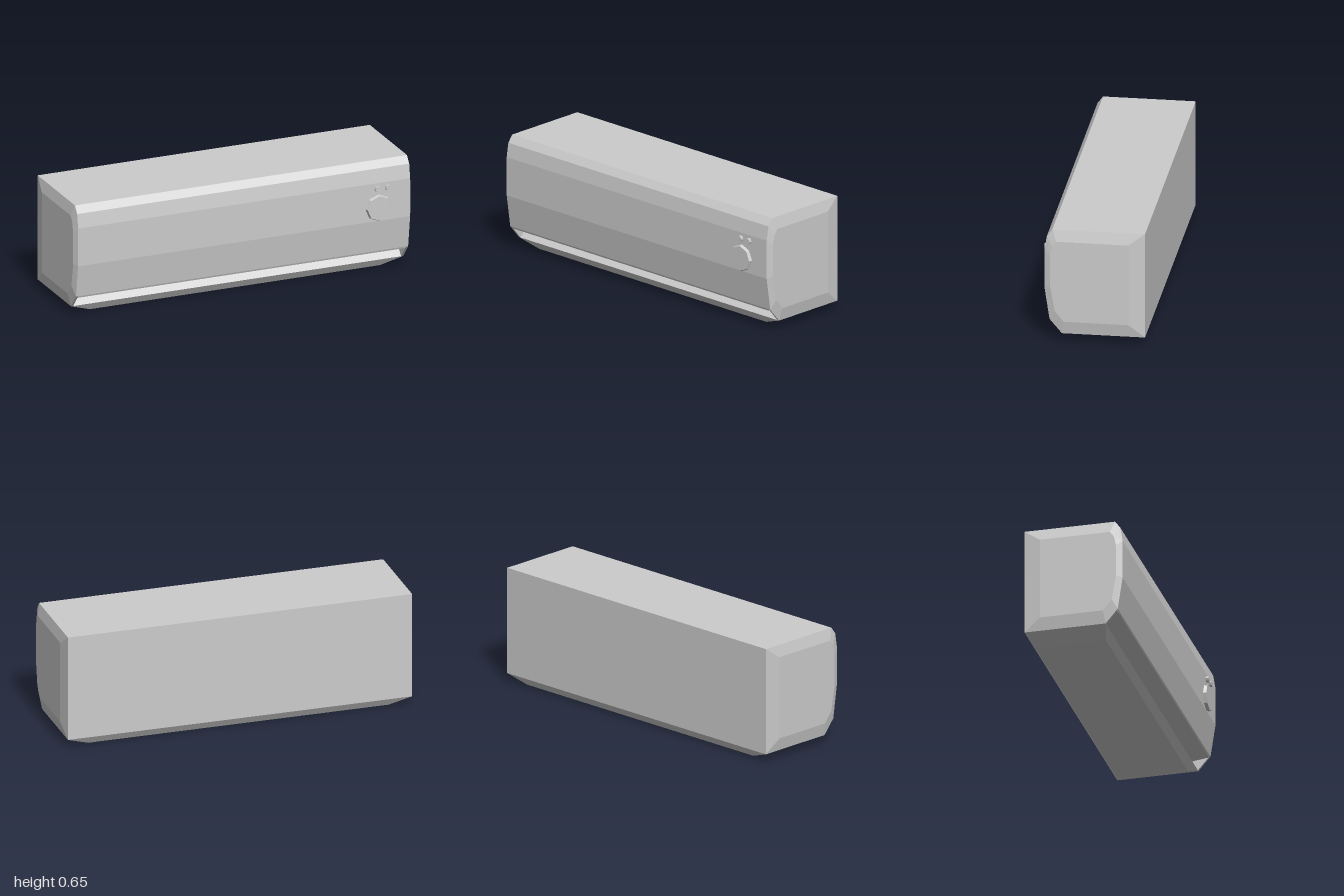
import * as THREE from 'three';

const material = new THREE.MeshStandardMaterial({ color: 0xcccccc, flatShading: true });

// Joins rings of equal point count, each { x, pts: [z, y][] }, ordered from low x to high x.
function loft(rings) {
  const pos = [];
  const at = (r, i) => {
    const [z, y] = r.pts[i % r.pts.length];
    return [r.x, y, z];
  };
  const n = rings[0].pts.length;
  for (let k = 0; k < rings.length - 1; k++) {
    const a = rings[k], b = rings[k + 1];
    for (let i = 0; i < n; i++) {
      pos.push(...at(a, i), ...at(b, i), ...at(a, i + 1));
      pos.push(...at(b, i), ...at(b, i + 1), ...at(a, i + 1));
    }
  }
  const first = rings[0], last = rings[rings.length - 1];
  for (let i = 1; i < n - 1; i++) {
    pos.push(...at(first, 0), ...at(first, i), ...at(first, i + 1));
    pos.push(...at(last, 0), ...at(last, i + 1), ...at(last, i));
  }
  const g = new THREE.BufferGeometry();
  g.setAttribute('position', new THREE.Float32BufferAttribute(pos, 3));
  g.computeVertexNormals();
  return g;
}

export function createModel() {
  const group = new THREE.Group();
  const add = (name, geometry) => {
    const mesh = new THREE.Mesh(geometry, material);
    mesh.name = name;
    group.add(mesh);
    return mesh;
  };

  // Side profile as [z, y], from the back bottom edge round the front to the back top edge
  const outer = [[-0.285, 0.045], [0.172, 0.045], [0.24, 0.125], [0.268, 0.31],
    [0.268, 0.53], [0.255, 0.61], [0.225, 0.65], [-0.285, 0.65]];
  const inner = [[-0.195, 0.118], [0.16, 0.118], [0.21, 0.18], [0.235, 0.32],
    [0.235, 0.5], [0.222, 0.555], [0.2, 0.585], [-0.195, 0.585]];
  const capX = 0.973, rimX = 0.985;

  // Main casing, with the air outlet notched into its lower front edge
  const notch = [[0.236, 0.115], [0.12, 0.1]];
  const profile = [...outer.slice(0, 2), ...notch.reverse(), ...outer.slice(2)];
  const shape = new THREE.Shape(profile.map(([z, y]) => new THREE.Vector2(-z, y)));
  const casing = new THREE.ExtrudeGeometry(shape, { depth: 2 * capX, bevelEnabled: false });
  casing.translate(0, 0, -capX).rotateY(Math.PI / 2);
  add('casing', casing);

  // Bevelled end caps, closing the outlet at both sides
  const capRings = [{ x: capX, pts: outer }, { x: rimX, pts: outer }, { x: 1, pts: inner }];
  add('leftEndCap', loft(capRings));
  add('rightEndCap', loft(capRings.map((r) => ({ x: -r.x, pts: r.pts })).reverse()));

  // Tapered underside tray
  const trayEnd = [[-0.285, 0.045], [0.172, 0.045]];
  const tray = new THREE.BoxGeometry(1, 1, 1);
  const p = tray.attributes.position;
  for (let i = 0; i < p.count; i++) {
    const top = p.getY(i) > 0;
    const [back, front] = top ? [trayEnd[0][0], trayEnd[1][0]] : [-0.255, 0.142];
    p.setXYZ(i, Math.sign(p.getX(i)) * (top ? rimX : 0.86), top ? 0.045 : 0,
      p.getZ(i) > 0 ? front : back);
  }
  tray.computeVertexNormals();
  add('bottomTray', tray);

  // Eight-sided control dial and two small buttons
  const knob = (name, x, y, rFront, rBase) => {
    const g = new THREE.CylinderGeometry(rFront, rBase, 0.02, 8);
    add(name, g.rotateX(Math.PI / 2)).position.set(x, y, 0.275);
  };
  knob('dial', 0.797, 0.387, 0.071, 0.078);
  knob('button', 0.791, 0.497, 0.018, 0.018);
  knob('button', 0.853, 0.497, 0.018, 0.018);

  return group;
}
